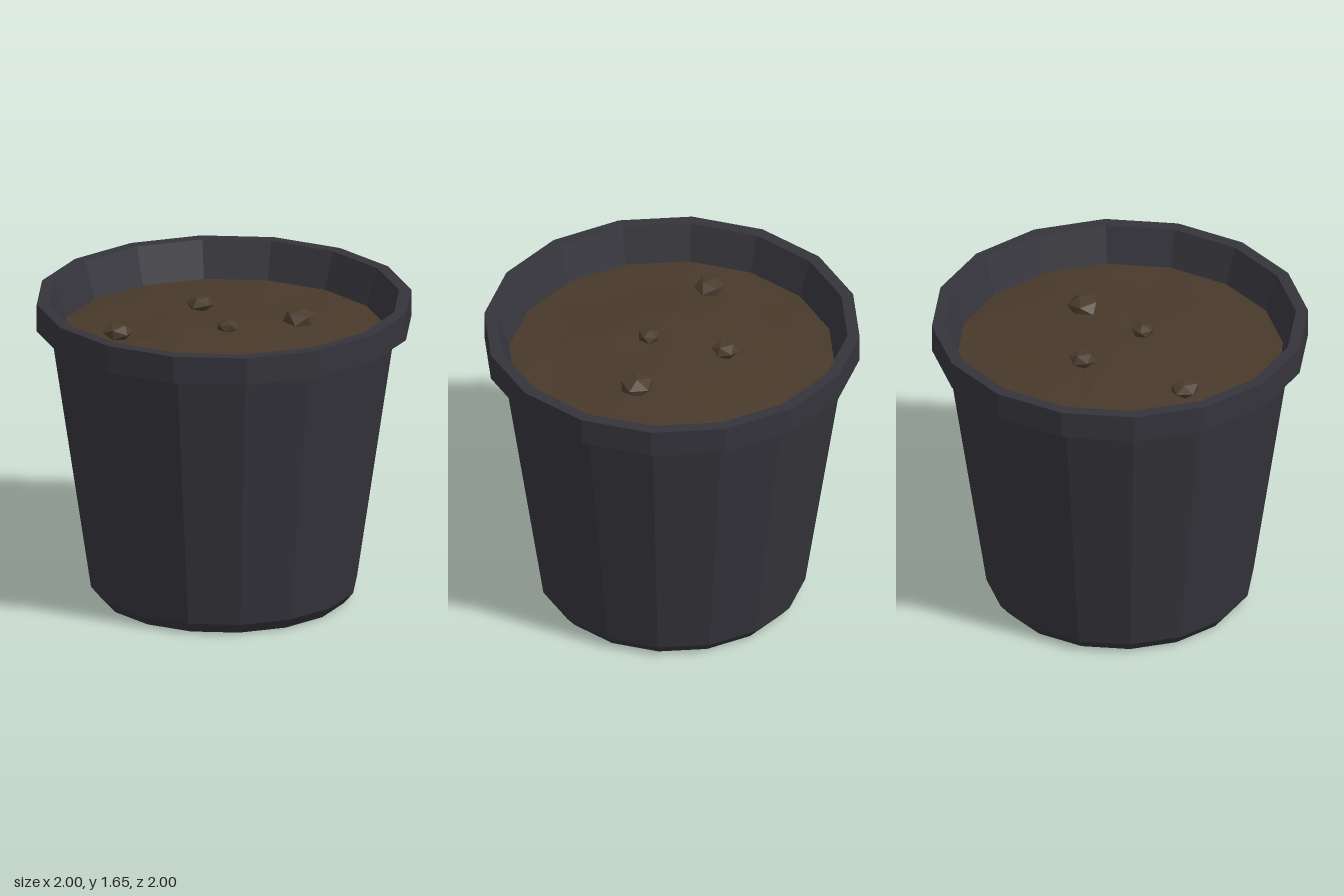
import * as THREE from 'three';

const SIDES = 16;

// Split shared vertices so every facet gets its own normal
function faceted(geometry) {
  const flat = geometry.index ? geometry.toNonIndexed() : geometry;
  flat.computeVertexNormals();
  return flat;
}

function lathe(profile) {
  return new THREE.LatheGeometry(profile.map(([r, y]) => new THREE.Vector2(r, y)), SIDES);
}

function addMesh(group, name, geometry, material) {
  const mesh = new THREE.Mesh(faceted(geometry), material);
  mesh.name = name;
  group.add(mesh);
  return mesh;
}

export function createModel() {
  const group = new THREE.Group();
  group.name = 'plantPot';

  const potPlastic = new THREE.MeshStandardMaterial({ color: 0x35343b });
  potPlastic.name = 'dark pot plastic';
  const soilBrown = new THREE.MeshStandardMaterial({ color: 0x48392a });
  soilBrown.name = 'soil brown';
  const clodBrown = new THREE.MeshStandardMaterial({ color: 0x4a3c2d });
  clodBrown.name = 'clod brown';

  // Tapered wall with chamfered foot, overhanging rim and inner face
  addMesh(group, 'pot', lathe([
    [0, 0], [0.66, 0], [0.71, 0.06], [0.92, 1.48], [1, 1.505],
    [1, 1.655], [0.935, 1.655], [0.865, 1.44],
  ]), potPlastic);

  // Slightly domed, uneven soil
  const soil = lathe([[0.868, 1.457], [0.62, 1.478], [0.32, 1.505], [0, 1.52]]);
  const pos = soil.attributes.position;
  for (let i = 0; i < pos.count; i++) {
    const x = pos.getX(i), z = pos.getZ(i);
    const r = Math.hypot(x, z);
    if (r > 0.1 && r < 0.8) {
      pos.setY(i, pos.getY(i) + 0.012 * Math.sin(5 * x + 2) * Math.cos(6 * z - 1));
    }
  }
  addMesh(group, 'soil', soil, soilBrown);

  // Flattened clods lying on the soil: x, y, z, radius, turn
  const clods = [
    [-0.19, 1.53, -0.215, 0.075, 0.4],
    [0.37, 1.515, -0.16, 0.095, 1.3],
    [0.055, 1.54, 0.125, 0.063, 2.2],
    [-0.5, 1.515, 0.305, 0.082, 3.1],
  ];
  clods.forEach(([x, y, z, r, turn], i) => {
    const rock = new THREE.IcosahedronGeometry(r, 0);
    rock.rotateX(turn);
    rock.rotateY(turn * 2);
    rock.scale(1, 0.58, 1);
    addMesh(group, `soilClod${i + 1}`, rock, clodBrown).position.set(x, y, z);
  });

  return group;
}
